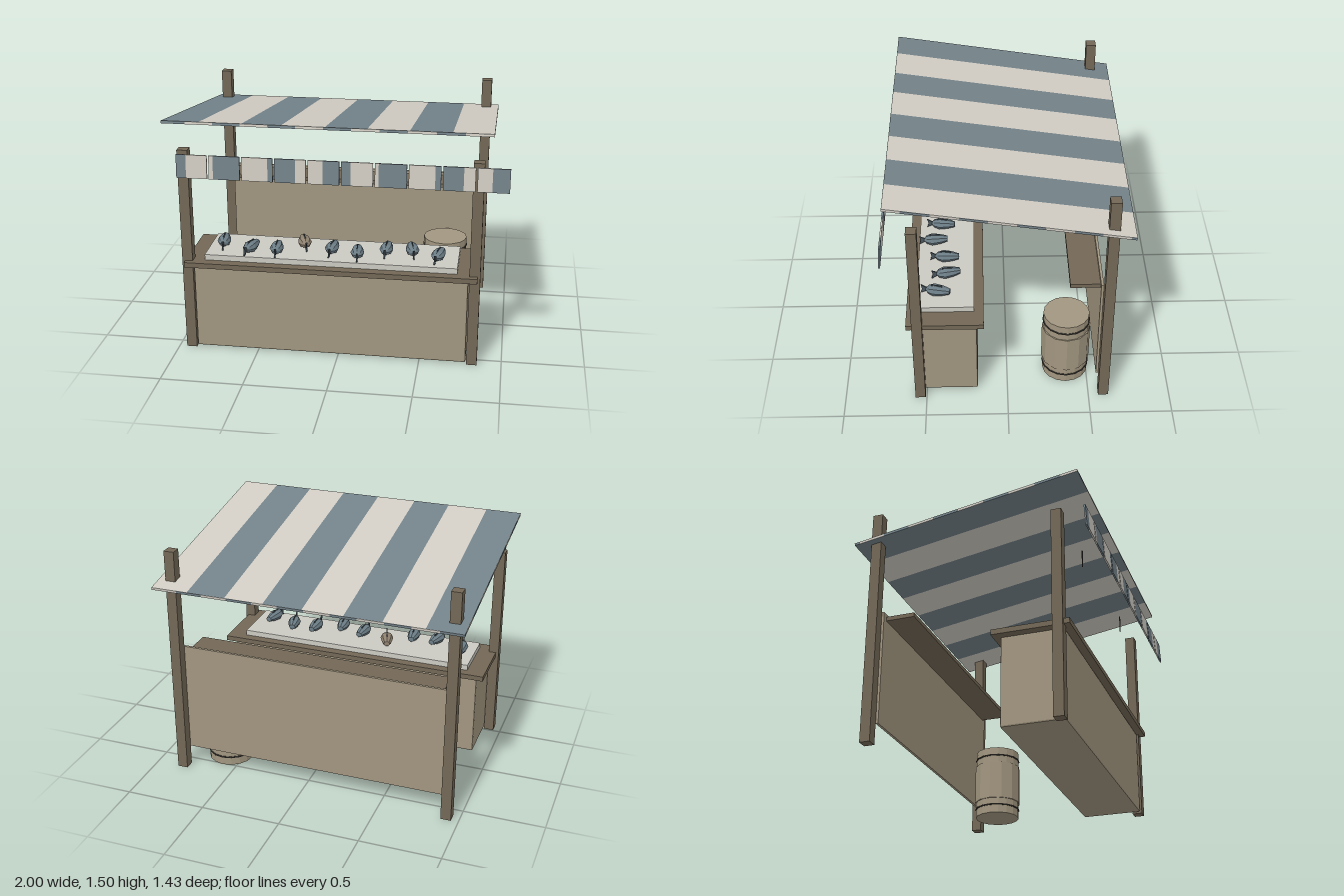
import * as THREE from 'three';
import { RoundedBoxGeometry } from 'three/addons/geometries/RoundedBoxGeometry.js';

function material(name, color) {
  const m = new THREE.MeshStandardMaterial({ color });
  m.name = name;
  m.flatShading = true;
  return m;
}

export function createModel() {
  const model = new THREE.Group();
  model.name = 'marketStall';
  const darkWood = material('dark wood', 0x736856);
  const paleWood = material('pale wood', 0xa29680);
  const cream = material('cream cloth', 0xd1cdc4);
  const slate = material('slate cloth', 0x74838a);
  const slabGrey = material('pale slab', 0xcbcac2);
  const iron = material('dark iron', 0x3f3c36);
  const fishBlue = material('fish blue', 0x6c7d86);
  const fishDark = material('fish fin', 0x4a565d);
  const fishTan = material('fish tan', 0x8f8270);

  function add(parent, name, geometry, mat, x = 0, y = 0, z = 0) {
    const mesh = new THREE.Mesh(geometry, mat);
    mesh.name = name;
    mesh.position.set(x, y, z);
    parent.add(mesh);
    return mesh;
  }
  // Box given by its limits on each axis
  function box(parent, name, mat, x0, x1, y0, y1, z0, z1) {
    return add(parent, name, new THREE.BoxGeometry(x1 - x0, y1 - y0, z1 - z0), mat,
      (x0 + x1) / 2, (y0 + y1) / 2, (z0 + z1) / 2);
  }
  // Cuts a span into alternating cloth stripes 0.16 wide; slate begins at `start`
  function stripes(from, to, start, draw) {
    const w = 0.16;
    for (let k = Math.floor((from - start) / w); start + k * w < to - 1e-4; k++) {
      const a = Math.max(from, start + k * w), b = Math.min(to, start + (k + 1) * w);
      if (b - a > 1e-4) draw(a, b, Math.abs(k % 2) === 0 ? slate : cream);
    }
  }

  // Posts
  for (const x of [-0.922, 0.82]) {
    box(model, 'frontPost', darkWood, x - 0.032, x + 0.032, 0, 1.29, 0.508, 0.57);
    box(model, 'backPost', darkWood, x - 0.032, x + 0.032, 0, 1.483, -0.623, -0.56);
  }

  // Counter with overhanging top and display slab
  add(model, 'counterBody', new RoundedBoxGeometry(1.67, 0.547, 0.377, 1, 0.01), paleWood,
    -0.052, 0.281, 0.372);
  box(model, 'counterTop', darkWood, -0.936, 0.836, 0.553, 0.585, 0.142, 0.605);
  box(model, 'displaySlab', slabGrey, -0.82, 0.715, 0.585, 0.62, 0.2, 0.545);

  // Back wall and shelf
  box(model, 'backPanel', paleWood, -0.89, 0.79, 0.13, 0.84, -0.561, -0.545);
  box(model, 'backShelf', darkWood, -0.857, 0.755, 0.796, 0.822, -0.545, -0.367);

  // Barrel
  const barrel = new THREE.Group();
  barrel.name = 'barrel';
  barrel.position.set(0.59, 0, -0.367);
  model.add(barrel);
  add(barrel, 'barrelBody', new THREE.CylinderGeometry(0.142, 0.142, 0.453, 16), paleWood, 0, 0.2265, 0);
  add(barrel, 'barrelBelly', new THREE.CylinderGeometry(0.15, 0.15, 0.25, 12), paleWood, 0, 0.226, 0);
  for (const y of [0.056, 0.4]) {
    const hoop = add(barrel, 'barrelHoop', new THREE.TorusGeometry(0.142, 0.006, 6, 16), iron, 0, y, 0);
    hoop.rotation.x = Math.PI / 2;
  }

  // Sloping striped awning
  const awning = new THREE.Group();
  awning.name = 'awning';
  awning.position.set(0, 1.383, -0.013);
  awning.rotation.x = -0.158;
  model.add(awning);
  const half = 0.706, t = 0.008, p = 0.002;
  const cuts = [-0.998, -0.78, -0.53, -0.3, -0.05, 0.19, 0.43, 0.67, 0.898];
  for (let i = 0; i < cuts.length - 1; i++) {
    box(awning, 'awningStripe', i % 2 ? cream : slate, cuts[i], cuts[i + 1], -t, t, -half, half);
  }
  stripes(-1, 0.9, -1.02, (a, b, mat) => {
    for (const z of [half, -half - p]) box(awning, 'awningEndTrim', mat, a, b, -t, t, z, z + p);
  });
  stripes(-half, half, -0.835, (a, b, mat) => {
    for (const x of [-1, 0.898]) box(awning, 'awningSideTrim', mat, x, x + p, -t, t, a, b);
  });

  // Hanging cloth flags along the front
  const valance = new THREE.Group();
  valance.name = 'valance';
  valance.position.set(0, 1.239, 0.705);
  valance.rotation.x = -0.06;
  model.add(valance);
  for (let i = 0; i < 10; i++) {
    const x0 = -0.918 + i * 0.1927;
    stripes(x0, x0 + 0.182, -1.02, (a, b, mat) =>
      box(valance, 'valanceFlag', mat, a, b, -0.07, 0.07, -0.005, 0.005));
  }
  // Thin hanging hooks behind the flags
  for (const x of [-0.505, 0.4]) {
    box(model, 'hangingHook', iron, x - 0.003, x + 0.003, 1.15, 1.26, 0.564, 0.57);
  }

  // Fish on the slab: tapered eight-sided body, tail and back fin
  const bodyGeometry = new THREE.LatheGeometry([
    [0, -0.08], [0.02, -0.078], [0.034, -0.035], [0.042, 0.02], [0.028, 0.055], [0.009, 0.07], [0, 0.071],
  ].map(([r, y]) => new THREE.Vector2(r, y)), 8);
  bodyGeometry.rotateX(Math.PI / 2);
  bodyGeometry.scale(1, 0.84, 1);
  const tailGeometry = new THREE.ExtrudeGeometry(new THREE.Shape([
    [0.055, -0.006], [0.1, -0.03], [0.093, 0], [0.1, 0.03], [0.055, 0.006],
  ].map(([x, y]) => new THREE.Vector2(x, y))), { depth: 0.008, bevelEnabled: false });
  tailGeometry.translate(0, 0, -0.004);
  tailGeometry.rotateY(-Math.PI / 2);
  const fishSpots = [
    [-0.735, 0.377, 0.1], [-0.55, 0.45, -0.25], [-0.39, 0.45, 0.05], [-0.24, 0.33, 0.3], [-0.055, 0.4, -0.1],
    [0.105, 0.445, 0.08], [0.275, 0.37, -0.05], [0.43, 0.36, 0.2], [0.595, 0.42, -0.2],
  ];
  fishSpots.forEach(([x, z, yaw], i) => {
    const fish = new THREE.Group();
    fish.name = 'fish';
    fish.position.set(x, 0.654, z);
    fish.rotation.y = yaw;
    model.add(fish);
    add(fish, 'fishBody', bodyGeometry, i === 3 ? fishTan : fishBlue);
    add(fish, 'fishTail', tailGeometry, fishDark);
    box(fish, 'fishBackFin', fishDark, -0.003, 0.003, 0.02, 0.037, -0.03, 0.035);
  });

  return model;
}
